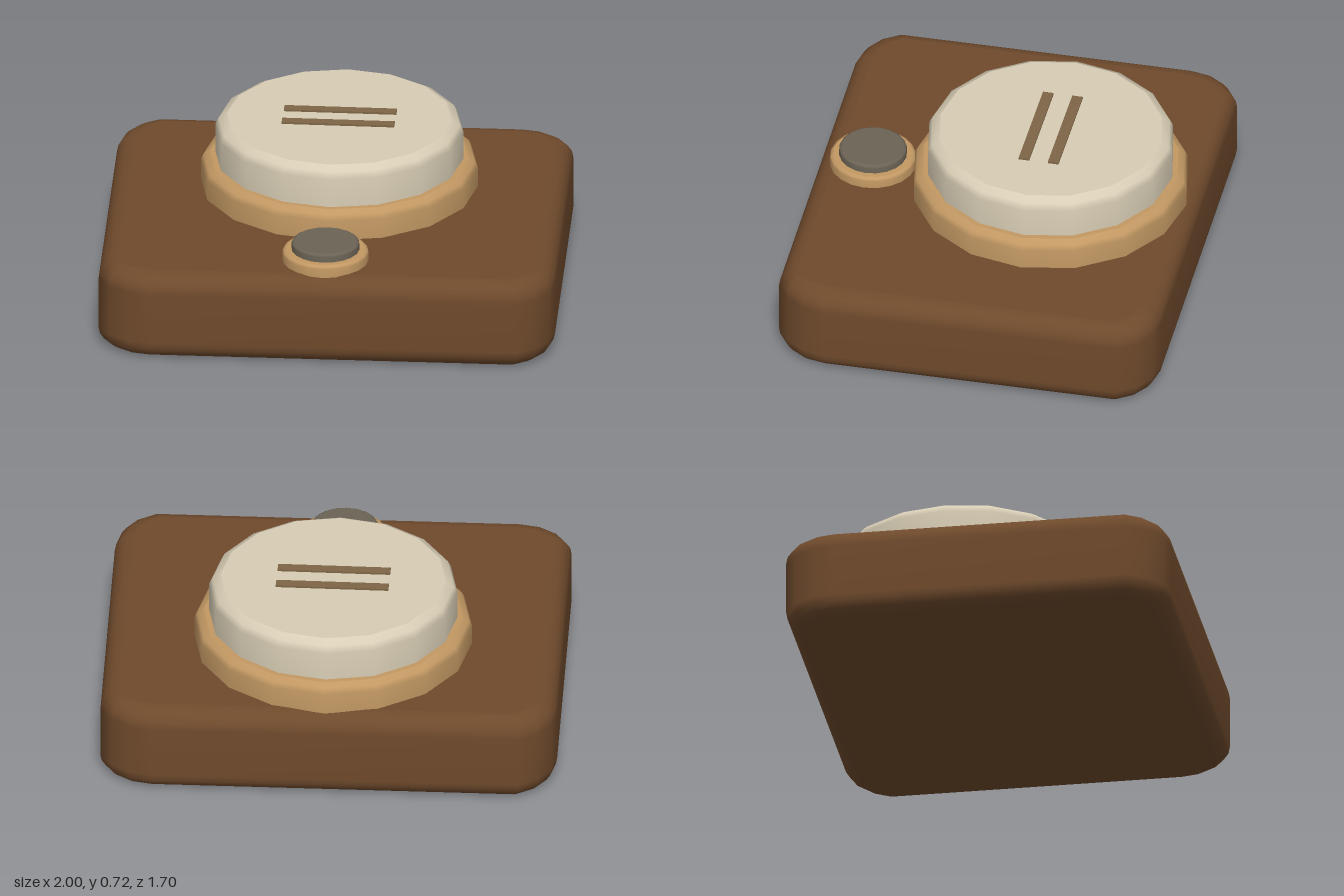
import * as THREE from 'three';

const material = (name, color) => {
  const m = new THREE.MeshStandardMaterial({ color });
  m.name = name;
  return m;
};

// Rounded slab: each corner is four points, so the long sides run slightly askew
function slabGeometry(halfX, halfZ, height, corner, bevel) {
  const outline = (inset) => {
    const points = [];
    const signs = [[1, 1], [-1, 1], [-1, -1], [1, -1]];
    signs.forEach(([sx, sz], q) => {
      for (let i = 0; i < 4; i++) {
        const a = q * Math.PI / 2 + i * Math.PI / 8;
        points.push([
          sx * (halfX - corner) + Math.cos(a) * (corner - inset),
          sz * (halfZ - corner) + Math.sin(a) * (corner - inset),
        ]);
      }
    });
    return points;
  };

  // Rings of the rounded bottom and top edges
  const rings = [];
  const steps = 4;
  for (let i = 0; i <= steps; i++) {
    const a = (i / steps) * Math.PI / 2;
    rings.push([bevel * (1 - Math.sin(a)), bevel * (1 - Math.cos(a))]);
  }
  for (let i = steps; i >= 0; i--) rings.push([rings[i][0], height - rings[i][1]]);

  const positions = [];
  const index = [];
  const n = 16;
  const addRing = ([inset, y]) => {
    const start = positions.length / 3;
    outline(inset).forEach(([x, z]) => positions.push(x, y, z));
    return start;
  };
  rings.forEach(addRing);
  for (let r = 0; r < rings.length - 1; r++) {
    for (let i = 0; i < n; i++) {
      const a = r * n + i, b = r * n + (i + 1) % n;
      index.push(a, a + n, b, b, a + n, b + n);
    }
  }
  // Flat caps with their own vertices
  for (const [ring, up] of [[rings[0], false], [rings[rings.length - 1], true]]) {
    const s = addRing(ring);
    const centre = positions.length / 3;
    positions.push(0, ring[1], 0);
    for (let i = 0; i < n; i++) {
      const a = s + i, b = s + (i + 1) % n;
      if (up) index.push(centre, b, a);
      else index.push(centre, a, b);
    }
  }
  const geometry = new THREE.BufferGeometry();
  geometry.setAttribute('position', new THREE.Float32BufferAttribute(positions, 3));
  geometry.setIndex(index);
  geometry.computeVertexNormals();
  return geometry;
}

// Disc with a chamfered upper rim; repeated points keep the flat faces crisp
function discGeometry(radius, bottom, top, chamfer, sides) {
  const profile = [
    [0, bottom], [radius, bottom], [radius, bottom],
    [radius, top - chamfer],
    [radius - chamfer * 0.3, top - chamfer * 0.4],
    [radius - chamfer, top], [radius - chamfer, top], [0, top],
  ];
  return new THREE.LatheGeometry(profile.map(([x, y]) => new THREE.Vector2(x, y)), sides);
}

export function createModel() {
  const brown = material('brown wood', 0x6f4a2c);
  const tan = material('tan trim', 0xc29863);
  const cream = material('cream', 0xd8cdb5);
  const grey = material('warm grey', 0x6b6355);
  const mark = material('mark brown', 0x7d6546);

  const model = new THREE.Group();
  model.name = 'dialBox';
  const add = (name, geometry, mat, x = 0, y = 0, z = 0) => {
    const mesh = new THREE.Mesh(geometry, mat);
    mesh.name = name;
    mesh.position.set(x, y, z);
    model.add(mesh);
  };

  add('base', slabGeometry(1, 0.85, 0.4, 0.25, 0.085), brown);

  // Large dial
  const dialZ = -0.19;
  add('dialRing', discGeometry(0.603, 0.395, 0.53, 0.04, 16), tan, 0, 0, dialZ);
  add('dialCap', discGeometry(0.54, 0.52, 0.71, 0.05, 16), cream, 0, 0, dialZ);
  for (const side of [-1, 1]) {
    add('dialMark', new THREE.BoxGeometry(0.49, 0.016, 0.047), mark, 0, 0.71, dialZ + side * 0.065);
  }

  // Small button in front of the dial
  add('buttonRing', discGeometry(0.188, 0.395, 0.45, 0.015, 20), tan, 0, 0, 0.6);
  add('buttonCap', discGeometry(0.148, 0.44, 0.487, 0.012, 20), grey, 0, 0, 0.6);

  return model;
}
